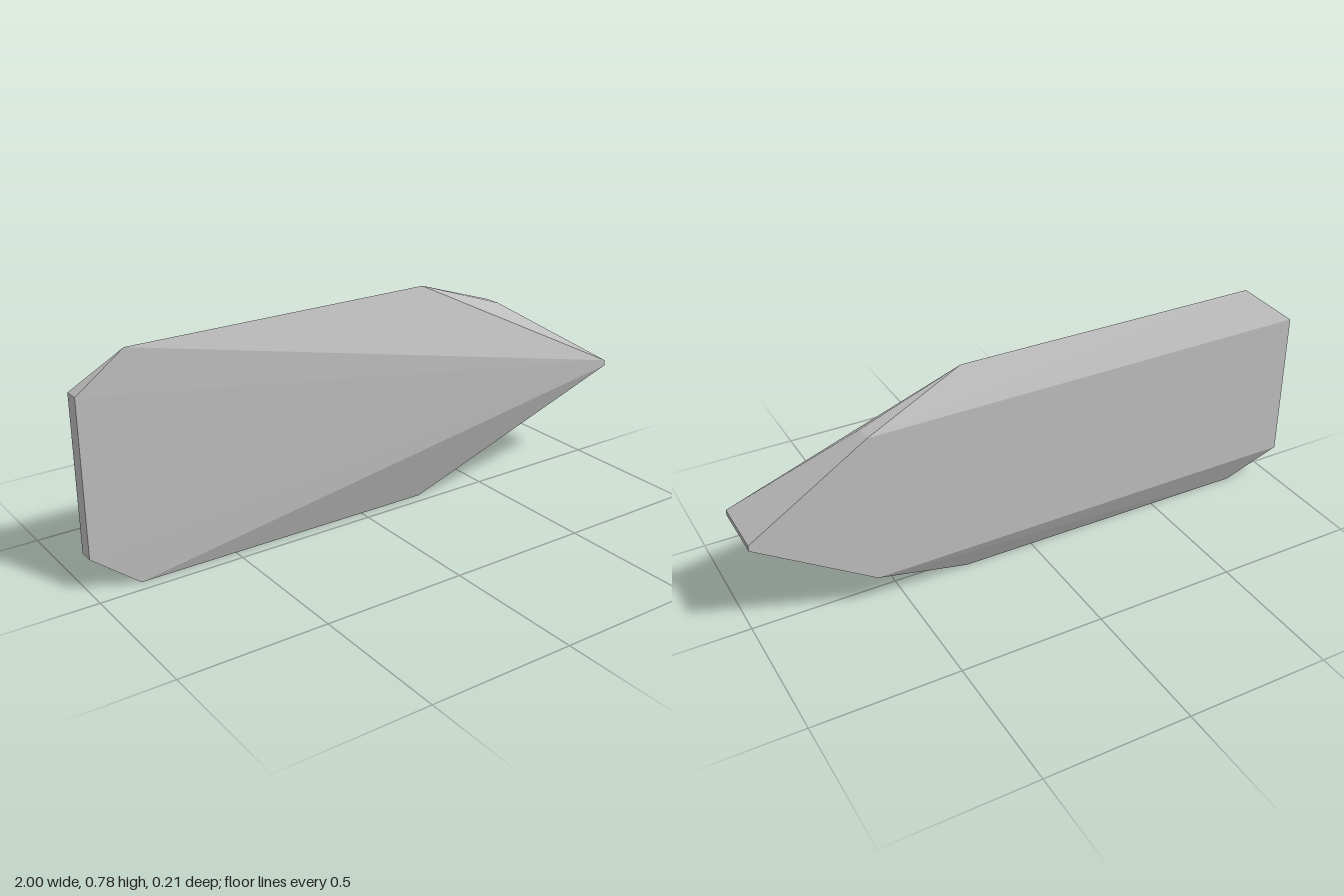
import * as THREE from 'three';
import { ConvexGeometry } from 'three/addons/geometries/ConvexGeometry.js';

export function createModel() {
  const group = new THREE.Group();
  const grey = new THREE.MeshStandardMaterial({ color: 0xbcbcbc });
  grey.name = 'grey';

  // Corners of the upper half: x, height above the middle, z
  const middle = 0.39;
  const corners = [
    [-1, 0.265, -0.105], [-1, 0.265, -0.053], // blunt end
    [-0.84, 0.39, -0.044], [0.25, 0.39, -0.038], // long ridge
    [0.6, 0.265, -0.105], [0.6, 0.265, -0.048], // shoulder
    [1, 0.01, -0.105], [1, 0.01, 0.105], // narrow tip
  ];

  // Mirror the corners downwards and wrap them in flat facets
  const points = [];
  for (const [x, h, z] of corners) {
    for (const side of [1, -1]) points.push(new THREE.Vector3(x, middle + side * h, z));
  }
  const blade = new THREE.Mesh(new ConvexGeometry(points), grey);
  blade.name = 'facetedBlade';
  group.add(blade);
  return group;
}
